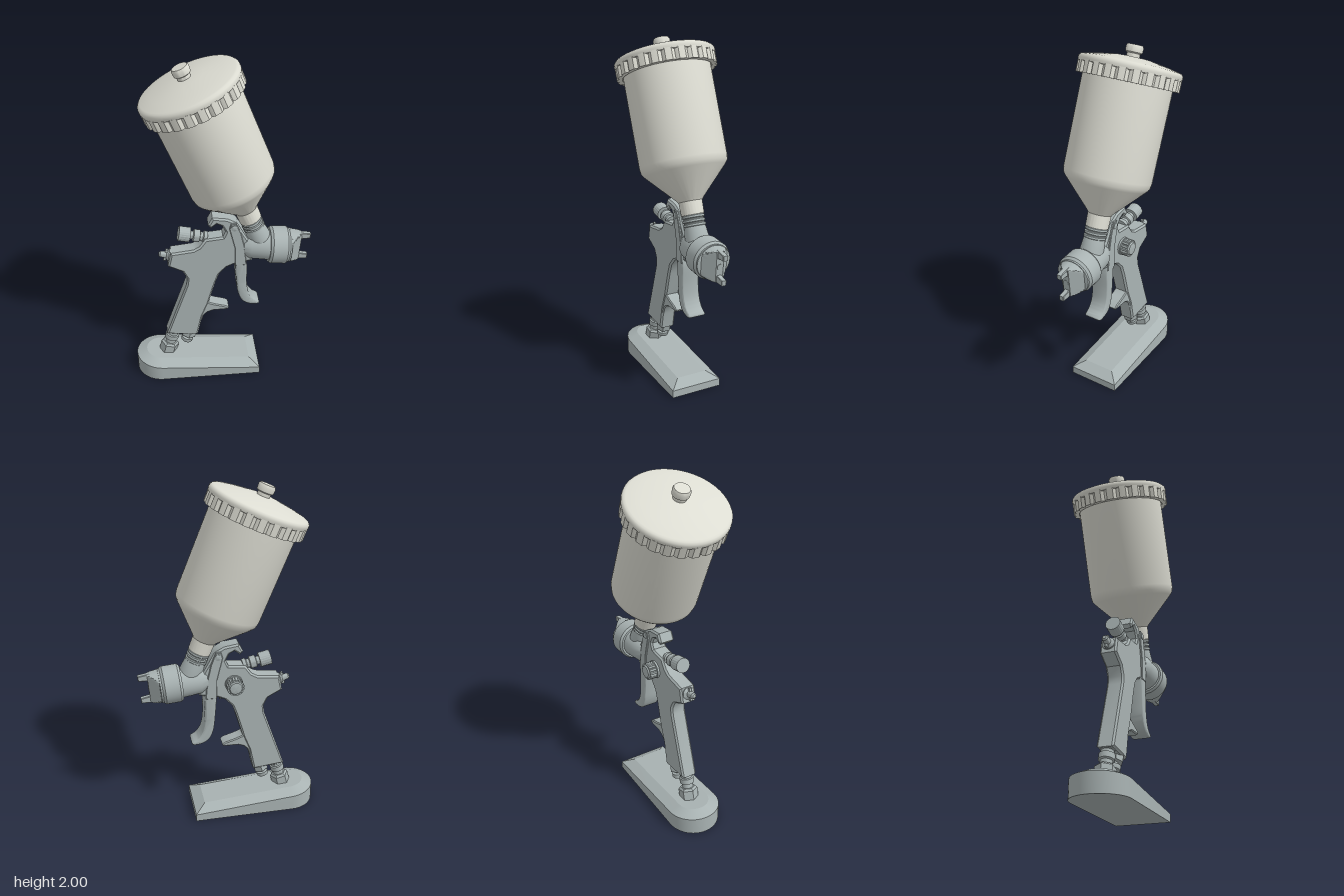
import * as THREE from 'three';
import { toCreasedNormals } from 'three/addons/utils/BufferGeometryUtils.js';

const metal = new THREE.MeshStandardMaterial({ color: 0xa9b3b3 });
const plastic = new THREE.MeshStandardMaterial({ color: 0xdcdcd2 });

const vec = (pts) => pts.map(([x, y]) => new THREE.Vector2(x, y));

function add(parent, name, geometry, material = metal, crease = 0.6) {
  const mesh = new THREE.Mesh(toCreasedNormals(geometry, crease), material);
  mesh.name = name;
  parent.add(mesh);
  return mesh;
}

function group(parent, name, x, y, z, angle) {
  const g = new THREE.Group();
  g.name = name;
  g.position.set(x, y, z);
  g.rotation.z = angle;
  parent.add(g);
  return g;
}

// Turned part: [radius, height] pairs from bottom to top
const turned = (pts, sides = 48) => new THREE.LatheGeometry(vec(pts), sides);

// Side profile extruded along z with bevelled edges, centred on z = 0
function plate(shape, width, bevel, segments = 1) {
  const geo = new THREE.ExtrudeGeometry(shape, {
    depth: width - 2 * bevel, bevelSize: bevel, bevelThickness: bevel,
    bevelOffset: -bevel, bevelSegments: segments, curveSegments: 6,
  });
  return geo.translate(0, 0, bevel - width / 2);
}

// Ring or knob with wide rounded ribs, standing along +y from y = 0
function ribbed(outer, inner, count, height, hole = 0) {
  const pts = [], steps = 8;
  for (let i = 0; i < count * steps; i++) {
    const a = (i / (count * steps)) * Math.PI * 2;
    const r = inner + (outer - inner) * Math.min(1, 1.5 * Math.abs(Math.sin(Math.PI * i / steps)));
    pts.push(new THREE.Vector2(r * Math.cos(a), r * Math.sin(a)));
  }
  const shape = new THREE.Shape(pts);
  if (hole) shape.holes.push(new THREE.Path().absarc(0, 0, hole, 0, Math.PI * 2, true));
  return new THREE.ExtrudeGeometry(shape, { depth: height, bevelEnabled: false, curveSegments: 48 }).rotateX(-Math.PI / 2);
}

// Closed solid through rings of equal point count, listed bottom to top, anticlockwise from above
function loft(rings) {
  const n = rings[0].length, pos = rings.flat(2), index = [];
  for (let k = 0; k < rings.length - 1; k++) {
    for (let i = 0; i < n; i++) {
      const a = k * n + i, b = k * n + ((i + 1) % n);
      index.push(a, b, a + n, b, b + n, a + n);
    }
  }
  const top = (rings.length - 1) * n;
  for (let i = 1; i < n - 1; i++) {
    index.push(0, i + 1, i, top, top + i, top + i + 1);
  }
  const geo = new THREE.BufferGeometry();
  geo.setAttribute('position', new THREE.Float32BufferAttribute(pos, 3));
  geo.setIndex(index);
  return geo;
}

// Foot outline: round at the back, square at the front, with sloping height
function footRing(inset, backY, frontY) {
  const r = 0.155 - inset, ring = [], front = 0.23 - inset;
  const y = (x) => backY + (frontY - backY) * (x + 0.53) / 0.76;
  for (let i = 0; i <= 24; i++) {
    const a = Math.PI / 2 + (i / 24) * Math.PI;
    const x = -0.372 + r * Math.cos(a);
    ring.push([x, y(x), -r * Math.sin(a)]);
  }
  ring.push([front, y(front), r], [front, y(front), -r]);
  return ring;
}

function buildCup(root) {
  const cup = group(root, 'paintCup', 0.066, 1.32, 0, 0.389);
  add(cup, 'cupBody', turned([[0, -0.275], [0.064, -0.275], [0.066, -0.2], [0.078, -0.185], [0.225, -0.03],
    [0.24, -0.01], [0.245, 0.02], [0.245, 0.55]], 64), plastic);
  add(cup, 'lid', turned([[0.245, 0.525], [0.264, 0.525], [0.264, 0.575], [0.279, 0.58], [0.283, 0.595], [0.281, 0.608],
    [0.273, 0.617], [0.262, 0.621], [0.2, 0.634], [0.1, 0.651], [0, 0.656]], 64), plastic);
  add(cup, 'lidGrip', ribbed(0.281, 0.267, 24, 0.066, 0.25), plastic).position.y = 0.52;
  add(cup, 'lidKnob', turned([[0.036, 0.63], [0.036, 0.672], [0.046, 0.678], [0.048, 0.705], [0.042, 0.717], [0, 0.718]], 32), plastic);

  // Threaded joint and socket below the cup
  const thread = [[0, -0.345]];
  for (let i = 0; i < 3; i++) {
    const y = -0.34 + i * 0.023;
    thread.push([0.057, y], [0.063, y + 0.004], [0.063, y + 0.015], [0.057, y + 0.019]);
  }
  add(cup, 'cupThread', turned([...thread, [0, -0.27]], 32));
  add(cup, 'cupSocket', turned([[0, -0.5], [0.07, -0.5], [0.067, -0.4], [0.061, -0.35], [0.058, -0.335], [0, -0.335]], 32));
}

function buildBody(root) {
  const outline = [[-0.29, 0.88], [-0.16, 0.895], [-0.125, 0.915], [-0.09, 0.965], [0.01, 0.975],
    [0.025, 1.01], [0.005, 1.05], [-0.025, 1.065], [-0.058, 1.04], [-0.075, 1.06], [-0.05, 1.108], [0.035, 1.095],
    [0.09, 1.065], [0.125, 1.0], [0.16, 0.94], [0.19, 0.9], [0.18, 0.8], [0.085, 0.785], [0.03, 0.76],
    [-0.012, 0.715], [-0.035, 0.65], [-0.08, 0.49], [-0.115, 0.4], [-0.145, 0.255], [-0.335, 0.275],
    [-0.205, 0.65], [-0.2, 0.695], [-0.225, 0.745], [-0.31, 0.79]];
  add(root, 'bodyAndGrip', plate(new THREE.Shape(vec(outline)), 0.094, 0.01));
  const rest = [[-0.1, 0.53], [-0.073, 0.5], [-0.035, 0.485], [0.03, 0.465], [0.047, 0.452], [0.04, 0.44], [-0.05, 0.438],
    [-0.085, 0.425], [-0.108, 0.4], [-0.12, 0.36], [-0.16, 0.4]];
  add(root, 'fingerRest', plate(new THREE.Shape(vec(rest)), 0.084, 0.006));

  // Barrel and nozzle head, turned to point forward and slightly down
  const head = group(root, 'nozzleHead', 0.34, 0.873, 0, -Math.PI / 2 - 0.09);
  add(head, 'barrel', turned([[0, -0.21], [0.06, -0.21], [0.082, -0.17], [0.09, -0.05], [0, -0.05]]));
  add(head, 'retainingRing', turned([[0, -0.062], [0.1, -0.062], [0.11, -0.048], [0.11, 0.038], [0.1, 0.052],
    [0.1, 0.062], [0.09, 0.065], [0, 0.065]]));
  const cap = new THREE.CylinderGeometry(0.09, 0.098, 0.07, 64, 4).translate(0, 0.09, 0);
  const p = cap.attributes.position;
  for (let i = 0; i < p.count; i++) {
    const w = 0.088 - (p.getY(i) - 0.055) * 0.95;
    p.setZ(i, THREE.MathUtils.clamp(p.getZ(i), -w, w));
  }
  add(head, 'airCap', cap, metal, 0.4);
  add(head, 'fluidTip', turned([[0.016, 0.11], [0.016, 0.127], [0, 0.127]], 24));
  const horn = new THREE.Shape(vec([[0.035, 0.1], [0.092, 0.1], [0.086, 0.178], [0.056, 0.178], [0.05, 0.13]]));
  for (const side of [0, 1]) {
    add(head, 'airHorn', plate(horn, 0.03, 0.003)).rotation.y = side * Math.PI;
  }
}

function buildTrigger(root) {
  const lever = [[0.078, 0.8], [0.09, 0.65], [0.1, 0.57], [0.125, 0.51], [0.165, 0.482], [0.215, 0.475], [0.23, 0.49],
    [0.19, 0.52], [0.163, 0.57], [0.152, 0.65], [0.152, 0.76], [0.142, 0.81]];
  const shape = new THREE.Shape();
  shape.moveTo(...lever[0]);
  shape.splineThru(vec(lever.slice(1)));
  add(root, 'triggerLever', plate(shape, 0.108, 0.012, 4), metal, 0.8);
  const arm = [[0.08, 0.78], [0.078, 0.9], [0.045, 1.035], [0.055, 1.07], [0.085, 1.07], [0.112, 1.0], [0.135, 0.9], [0.146, 0.78]];
  for (const side of [1, -1]) {
    add(root, 'triggerArm', plate(new THREE.Shape(vec(arm)), 0.014, 0.003)).position.z = side * 0.05;
    const pin = add(root, 'triggerPivot', turned([[0, 0], [0.018, 0], [0.018, 0.006], [0.012, 0.009], [0, 0.009]], 24));
    pin.position.set(0.073, 1.042, side * 0.055);
    pin.rotation.x = side * Math.PI / 2;
  }
  const rod = group(root, 'triggerRod', 0.0, 0.775, 0, -Math.PI / 2 - 0.1);
  add(rod, 'valveRod', turned([[0, 0], [0.022, 0], [0.022, 0.06], [0.01, 0.06], [0.01, 0.11], [0, 0.11]], 20));
}

function buildControls(root) {
  // Rear fluid knob, pointing back and slightly up
  const fluid = group(root, 'fluidControl', -0.08, 0.955, 0, Math.PI / 2 - 0.22);
  add(fluid, 'fluidStem', turned([[0, 0], [0.034, 0], [0.034, 0.02], [0.026, 0.025], [0.026, 0.04], [0.036, 0.044],
    [0.036, 0.078], [0.024, 0.082], [0.024, 0.11], [0, 0.11]], 24));
  add(fluid, 'fluidKnob', ribbed(0.043, 0.0415, 20, 0.066)).position.y = 0.1;

  // Small rear plug
  const plug = group(root, 'rearPlug', -0.275, 0.838, 0, Math.PI / 2 - 0.22);
  add(plug, 'plugBody', turned([[0, -0.02], [0.036, -0.02], [0.036, 0.03], [0.028, 0.036], [0.02, 0.042],
    [0.017, 0.078], [0.01, 0.086], [0, 0.086]], 24));
  add(plug, 'plugWing', new THREE.BoxGeometry(0.075, 0.015, 0.014)).position.y = 0.045;

  // Ribbed side knob on the back face
  const fan = group(root, 'fanControl', -0.02, 0.863, -0.045, 0);
  fan.rotation.x = -Math.PI / 2;
  add(fan, 'fanCollar', turned([[0, 0], [0.052, 0], [0.052, 0.014], [0.038, 0.02], [0, 0.02]], 32));
  add(fan, 'fanKnob', ribbed(0.05, 0.044, 16, 0.042)).position.y = 0.018;
  add(fan, 'fanKnobEnd', turned([[0.042, 0.058], [0.035, 0.068], [0.012, 0.072], [0, 0.072]], 32));
}

function buildFittings(root) {
  const inlet = group(root, 'airInlet', -0.332, 0.115, 0, -0.25);
  add(inlet, 'inletNut', turned([[0, 0], [0.056, 0], [0.056, 0.058], [0.044, 0.07], [0, 0.07]], 6), metal, 0.3).rotation.y = Math.PI / 6;
  add(inlet, 'inletStem', turned([[0.032, 0.06], [0.032, 0.095], [0.042, 0.1], [0.042, 0.132], [0.034, 0.136],
    [0.034, 0.15], [0.038, 0.154], [0.038, 0.19], [0, 0.19]], 24));
  const valve = group(root, 'airValve', -0.214, 0.185, 0, -0.28);
  add(valve, 'valveKnob', turned([[0, 0], [0.034, 0], [0.036, 0.005], [0.036, 0.025], [0.018, 0.03], [0.018, 0.055]], 24));
  add(valve, 'valveNut', turned([[0, 0.045], [0.046, 0.045], [0.046, 0.08], [0.036, 0.085], [0.036, 0.12], [0, 0.12]], 6), metal, 0.3);
}

export function createModel() {
  const root = new THREE.Group();
  root.name = 'sprayGun';
  add(root, 'standFoot', loft([footRing(0, 0, 0), footRing(0, 0.108, 0.045), footRing(0.062, 0.138, 0.078)]), metal, 0.35);
  buildFittings(root);
  buildBody(root);
  buildTrigger(root);
  buildControls(root);
  buildCup(root);
  return root;
}
